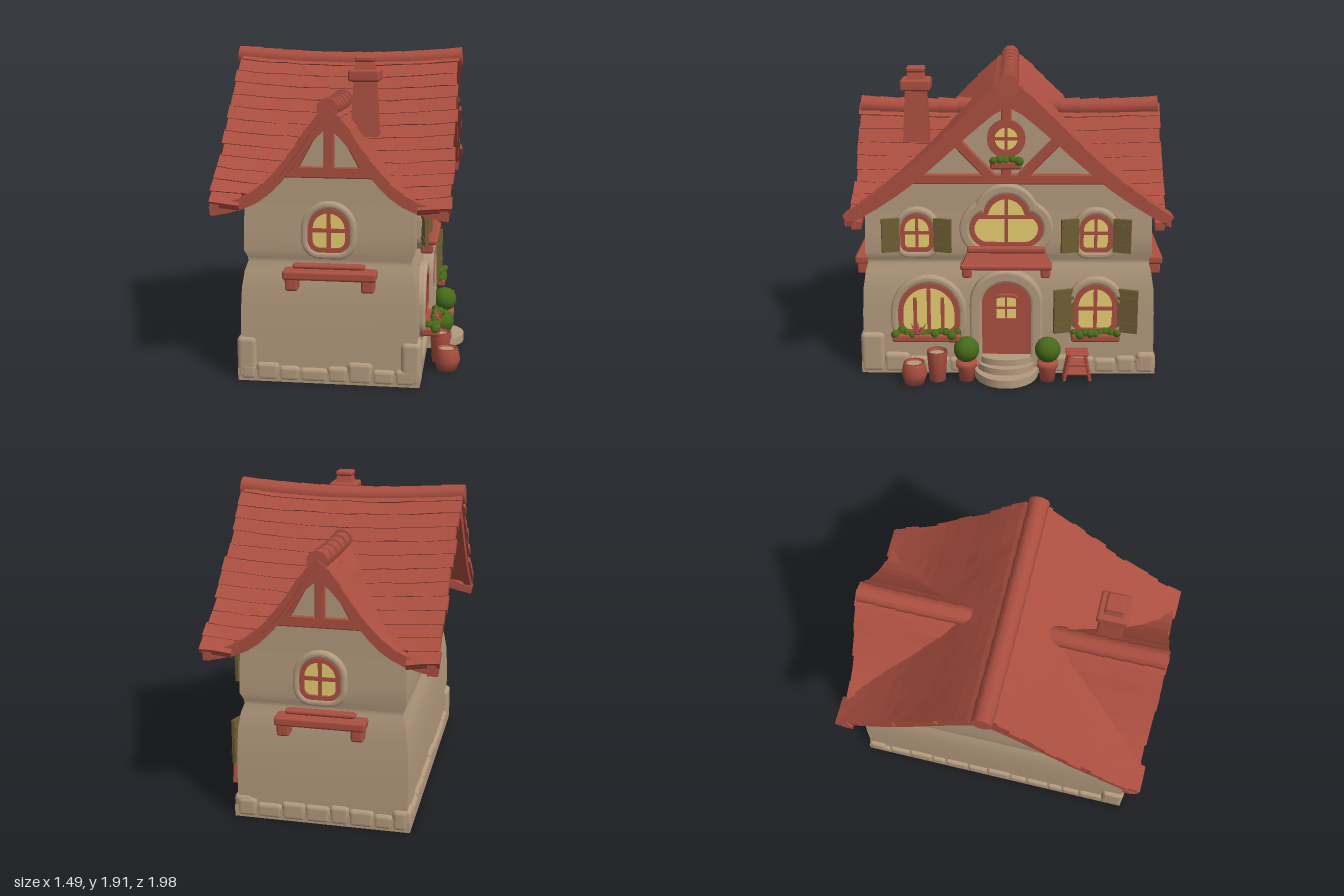
import * as THREE from 'three';
import { mergeGeometries } from 'three/addons/utils/BufferGeometryUtils.js';
import { RoundedBoxGeometry } from 'three/addons/geometries/RoundedBoxGeometry.js';

const mat = (name, color) => Object.assign(new THREE.MeshStandardMaterial({ color }), { name });
const red = mat('terracotta red', 0xab4f40), plaster = mat('plaster', 0xb39a7e);
const olive = mat('olive wood', 0x715e34), leaf = mat('leaf green', 0x476a19), glow = mat('lit glass', 0xf2d877);

let seed = 7;
const rnd = (a, b) => { seed = (seed * 16807) % 2147483647; return a + (b - a) * seed / 2147483647; };

function add(parent, name, geo, m, x = 0, y = 0, z = 0) {
  const mesh = new THREE.Mesh(geo, m);
  mesh.name = name;
  mesh.position.set(x, y, z);
  parent.add(mesh);
  return mesh;
}
const box = (w, h, d) => new THREE.BoxGeometry(w, h, d);
const soft = (w, h, d, r = 0.015) => new RoundedBoxGeometry(w, h, d, 2, r);
const extrude = (shape, depth, bevel = 0) => new THREE.ExtrudeGeometry(shape, {
  depth, bevelEnabled: bevel > 0, bevelSize: bevel, bevelThickness: bevel, bevelOffset: -bevel, bevelSegments: 2, curveSegments: 10 });
const lathe = pts => new THREE.LatheGeometry(pts.map(p => new THREE.Vector2(...p)), 16);

// Roof profiles: distance from ridge, height. MID is the x of the house's centre line
const MID = -0.025;
const profile = (pts, n) => new THREE.SplineCurve(pts.map(p => new THREE.Vector2(...p))).getSpacedPoints(n);
const mainP = profile([[0, 1.85], [0.09, 1.79], [0.25, 1.64], [0.41, 1.48], [0.61, 1.295], [0.8, 1.15], [0.965, 1.04]], 13);
const dormP = profile([[0, 1.62], [0.1, 1.52], [0.2, 1.37], [0.35, 1.19], [0.5, 1.09], [0.68, 1.03]], 10);
const sag = x => 0.035 * (x / 0.7) ** 2;
function distAt(P, y) {
  if (y >= P[0].y) return 0;
  for (let i = 1; i < P.length; i++) if (y >= P[i].y)
    return THREE.MathUtils.mapLinear(y, P[i - 1].y, P[i].y, P[i - 1].x, P[i].x);
  return P[P.length - 1].x;
}

// One course of shingles: a wedge with a ragged lower edge, swept from t0 to t1
function course(a, b, t0, t1, map, reverse) {
  const n = Math.max(1, Math.round((t1 - t0) / 0.1)), pos = [];
  const d = b.clone().sub(a).normalize(), nx = -d.y, ny = d.x, rings = [];
  for (let k = 0; k <= n; k++) {
    const t = t0 + (t1 - t0) * k / n, over = rnd(0.002, 0.012), lift = rnd(0.003, 0.008);
    const bx = b.x + d.x * over, by = b.y + d.y * over;
    rings.push([[a.x, a.y], [bx + nx * lift, by + ny * lift], [bx - nx * 0.035, by - ny * 0.035], [a.x - nx * 0.035, a.y - ny * 0.035]]
      .map(([u, y]) => map(u, y, t)));
  }
  const quad = (...q) => { if (reverse) q.reverse(); for (const i of [0, 1, 2, 0, 2, 3]) pos.push(...q[i]); };
  for (let k = 0; k < n; k++) for (let e = 0; e < 4; e++) {
    const f = (e + 1) % 4;
    quad(rings[k][e], rings[k][f], rings[k + 1][f], rings[k + 1][e]);
  }
  quad(...rings[0].slice().reverse());
  quad(...rings[n]);
  const g = new THREE.BufferGeometry();
  g.setAttribute('position', new THREE.Float32BufferAttribute(pos, 3));
  g.computeVertexNormals();
  return g;
}

// Solid below a profile, and the tapering board that follows its edge
function gableShape(P, half, drop, floor) {
  const side = P.filter(p => p.x < half).map(p => [p.x, p.y - drop]);
  const end = P.find(p => p.x >= half) || P[P.length - 1];
  side.push([half, Math.max(end.y - drop, floor + 0.01)], [half, floor]);
  return new THREE.Shape([...side, ...side.slice(1).reverse().map(([x, y]) => [-x, y])].map(p => new THREE.Vector2(...p)));
}
function boardShape(P, width) {
  const reach = P[P.length - 1].x;
  const top = [...P.slice(1).reverse().map(p => [-p.x, p.y]), ...P.map(p => [p.x, p.y])];
  const under = top.slice().reverse().map(([x, y]) => [x, y - width * (1 - 0.6 * Math.abs(x) / reach)]);
  return new THREE.Shape([...top, ...under].map(p => new THREE.Vector2(...p)));
}

// Opening outlines, grown by e on all sides; r rounds the lower corners
const arch = (w, h, rise, r = 0) => e => {
  const s = new THREE.Shape(), a = w / 2 + e, c = r ? Math.max(r + e, 0.01) : 0;
  s.moveTo(-a + c, -e); s.lineTo(a - c, -e);
  if (c) s.absarc(a - c, c - e, c, -Math.PI / 2, 0, false);
  s.lineTo(a, h - rise);
  s.absellipse(0, h - rise, a, rise + e, 0, Math.PI, false);
  if (c) s.absarc(-a + c, c - e, c, Math.PI, Math.PI * 1.5, false);
  else s.lineTo(-a, -e);
  return s;
};
const trefoil = e => {
  const s = new THREE.Shape();
  s.moveTo(-0.13, -e); s.lineTo(0.13, -e);
  s.absarc(0.11, 0.09, 0.09 + e, -Math.PI / 2, 1.2, false);
  s.absarc(0, 0.17, 0.115 + e, 0.15, Math.PI - 0.15, false);
  s.absarc(-0.11, 0.09, 0.09 + e, Math.PI - 1.2, Math.PI * 1.5, false);
  return s;
};
const circle = r => e => new THREE.Shape().absarc(0, r, r + e, 0, Math.PI * 2, false);

function ring(fn, outer, inner, depth, bevel) {
  const s = fn(outer);
  s.holes.push(fn(inner));
  return extrude(s, depth, bevel);
}
function addWindow(parent, name, fn, u, v, n, { w, h, ups = [0], across = [0.5], surround = 0.07, frame = 0.025, bar = 0.022 }) {
  const g = new THREE.Group();
  g.name = name; g.position.set(u, v, n); parent.add(g);
  if (surround) add(g, 'plasterSurround', ring(fn, frame + surround, frame, 0.03, 0.014), plaster, 0, 0, -0.01);
  add(g, 'frame', ring(fn, frame, -0.006, 0.04), red, 0, 0, -0.01);
  add(g, 'glass', extrude(fn(0), 0.008), glow, 0, 0, 0.004);
  for (const x of ups) add(g, 'mullion', box(bar, h * (1 - Math.abs(x) / w), 0.016), red, x, h * (1 - Math.abs(x) / w) / 2, 0.016);
  for (const f of across) add(g, 'crossbar', box(w, bar, 0.016), red, 0, h * f, 0.016);
}
function addShutter(parent, u, v, n, w, h, side) {
  const g = new THREE.Group();
  g.name = 'shutter'; g.position.set(u, v, n); g.rotation.y = -side * 0.3; parent.add(g);
  add(g, 'board', box(w, h, 0.022), olive);
  for (const k of [-0.3, 0.3]) add(g, 'batten', box(w * 0.9, 0.02, 0.032), olive, 0, h * k, 0);
}
function addFlowerBox(parent, u, v, n, w, d) {
  add(parent, 'flowerBox', soft(w, 0.05, d), red, u, v, n);
  const count = Math.round(w / 0.035);
  for (let i = 0; i < count; i++)
    add(parent, 'foliage', new THREE.IcosahedronGeometry(rnd(0.022, 0.032), 1), leaf, u + (i / (count - 1) - 0.5) * (w - 0.04), v + rnd(0.018, 0.035), n + rnd(-0.01, d / 2 - 0.01));
}
function beam(parent, x0, y0, x1, y1, n, w = 0.05) {
  const m = add(parent, 'timber', soft(Math.hypot(x1 - x0, y1 - y0), w, 0.05, 0.008), red, (x0 + x1) / 2, (y0 + y1) / 2, n);
  m.rotation.z = Math.atan2(y1 - y0, x1 - x0);
}

export function createModel() {
  const model = new THREE.Group(), house = new THREE.Group();
  model.name = 'cottage';
  house.name = 'house';
  house.rotation.y = 0.028; // the house stands slightly askew
  model.add(house);
  const sub = (name, ry = 0) => { const g = new THREE.Group(); g.name = name; g.rotation.y = ry; house.add(g); return g; };

  // Walls: two bulging storeys, from half widths at each height
  const rings = [[0, 0.515, 0.905], [0.2, 0.517, 0.907], [0.4, 0.516, 0.903], [0.56, 0.508, 0.895], [0.66, 0.492, 0.88], [0.71, 0.474, 0.866],
    [0.735, 0.474, 0.866], [0.78, 0.496, 0.88], [0.9, 0.494, 0.877], [1.05, 0.488, 0.872]];
  const wg = new THREE.BoxGeometry(2, 1, 2, 1, rings.length - 1, 1), wp = wg.attributes.position;
  for (let i = 0; i < wp.count; i++) {
    const [y, hx, hz] = rings[Math.round((wp.getY(i) + 0.5) * (rings.length - 1))];
    wp.setXYZ(i, -0.03 + wp.getX(i) * hx, y, wp.getZ(i) * hz);
  }
  wg.computeVertexNormals();
  add(house, 'walls', wg, plaster);
  add(house, 'mainGables', extrude(gableShape(mainP, 0.867, 0.04, 1), 0.975).rotateY(Math.PI / 2), plaster, -0.5175);
  add(house, 'dormerGables', extrude(gableShape(dormP, 0.46, 0.04, 1), 1.743), plaster, MID, 0, -0.8715);

  // Stone footing and corner blocks
  const stones = sub('stoneFooting');
  add(stones, 'plinth', box(1.07, 0.07, 1.84), plaster, -0.03, 0.035, 0);
  const row = (from, to, place) => {
    for (let s = from; s < to - 0.02;) {
      const l = Math.min(rnd(0.09, 0.17), to - s), h = rnd(0.09, 0.14);
      place(s + l / 2, l + 0.01, h);
      s += l;
    }
  };
  for (const s of [-1, 1]) {
    row(-0.55, 0.49, (c, l, h) => add(stones, 'stone', soft(l, h, 0.07, 0.03), plaster, c, h / 2, s * 0.89));
    row(-0.91, 0.91, (c, l, h) => { if (s < 0 || Math.abs(c) > 0.2) add(stones, 'stone', soft(0.07, h, l, 0.03), plaster, -0.03 + s * 0.505, h / 2, c); });
    add(stones, 'cornerBlock', soft(0.12, 0.26, 0.15, 0.03), plaster, -0.03 + s * 0.482, 0.135, 0.848);
    add(stones, 'cornerStone', soft(0.12, 0.14, 0.12, 0.03), plaster, -0.03 + s * 0.482, 0.07, -0.858);
  }

  // Shingled roof: main slopes are cut where the cross gables rise above them
  const roof = sub('roof');
  for (const side of [-1, 1]) {
    const main = [], map = (u, y, t) => [t, y + sag(t), side * u];
    for (let i = 0; i < mainP.length - 1; i++) {
      const a = mainP[i], b = mainP[i + 1];
      const x0 = -0.712 + rnd(-0.01, 0.01), x1 = 0.672 + rnd(-0.01, 0.01);
      const cut = distAt(dormP, (a.y + b.y) / 2 + 0.01) - 0.03;
      if (cut <= 0) main.push(course(a, b, x0, x1, map, side < 0));
      else main.push(course(a, b, x0, MID - cut, map, side < 0), course(a, b, MID + cut, x1, map, side < 0));
    }
    add(roof, 'mainSlope', mergeGeometries(main), red);
    for (const face of [-1, 1]) {
      const tiles = [];
      for (let i = 0; i < dormP.length - 1; i++) {
        const a = dormP[i], b = dormP[i + 1];
        tiles.push(course(a, b, distAt(mainP, a.y) - 0.03, 0.945 + rnd(-0.01, 0.01),
          (u, y, t) => [MID + side * u, y + 0.02 * (t - 0.6), face * t], side * face > 0));
      }
      add(roof, 'crossGableSlope', mergeGeometries(tiles), red);
    }
    add(roof, 'mainBargeboard', extrude(boardShape(mainP, 0.15), 0.05).rotateY(Math.PI / 2), red, side > 0 ? 0.605 : -0.7, 0.02, 0);
    add(roof, 'crossBargeboard', extrude(boardShape(dormP, 0.115), 0.055), red, MID, 0, side > 0 ? 0.87 : -0.925);
    for (let i = 0; i < 6; i++) {
      const cap = add(roof, 'crossRidgeTile', new THREE.CylinderGeometry(0.063, 0.056, 0.14, 10), red, MID, 1.597 + 0.012 * (i - 2) ** 2 / 9, side * (0.26 + i * 0.122));
      cap.rotation.x = side * (Math.PI / 2 - 0.04);
    }
  }
  for (let i = 0; i < 11; i++) {
    const x = -0.66 + i * 0.128;
    const cap = add(roof, 'ridgeTile', new THREE.CylinderGeometry(0.06, 0.065, 0.145, 10), red, x, 1.815 + sag(x), 0);
    cap.rotation.z = Math.PI / 2 + x * 0.12;
  }

  // Chimney
  const chimney = sub('chimney');
  chimney.position.set(0.147, 0, 0.575);
  const prism = (r0, r1, h) => new THREE.CylinderGeometry(r0 * Math.SQRT2, r1 * Math.SQRT2, h, 4).rotateY(Math.PI / 4).toNonIndexed();
  for (const [n, r0, r1, y0, y1] of [['shaft', 0.062, 0.08, 1.42, 1.76], ['pot', 0.045, 0.06, 1.8, 1.86]]) {
    const g = prism(r0, r1, y1 - y0);
    g.computeVertexNormals();
    add(chimney, n, g, red, 0, (y0 + y1) / 2, 0);
  }
  add(chimney, 'cap', soft(0.185, 0.07, 0.185), red, 0, 1.775, 0);
  add(chimney, 'potRim', soft(0.115, 0.035, 0.115), red, 0, 1.868, 0);

  // Entrance side, local x runs toward -z
  const entry = sub('entranceSide', Math.PI / 2);
  entry.position.set(-0.01, 0, 0.012);
  addWindow(entry, 'atticWindow', circle(0.075), 0, 1.425, 0.48, { w: 0.15, h: 0.15, surround: 0, frame: 0.04, bar: 0.018 });
  addFlowerBox(entry, 0, 1.35, 0.52, 0.19, 0.09);
  addWindow(entry, 'trefoilWindow', trefoil, 0, 0.85, 0.475, { w: 0.38, h: 0.285, across: [0.58], surround: 0.06 });
  add(entry, 'canopyRail', soft(0.48, 0.04, 0.08), red, 0, 0.815, 0.5);
  const canopy = box(0.55, 0.1, 0.1), cp = canopy.attributes.position;
  for (let i = 0; i < cp.count; i++) if (cp.getY(i) > 0) cp.setXYZ(i, cp.getX(i) * 0.84, 0.05, Math.min(cp.getZ(i), -0.01));
  canopy.computeVertexNormals();
  add(entry, 'canopy', canopy, red, 0, 0.76, 0.52);
  add(entry, 'canopyEdge', soft(0.56, 0.035, 0.11), red, 0, 0.715, 0.52);
  for (const s of [-1, 1]) {
    add(entry, 'canopyBracket', soft(0.06, 0.07, 0.08), red, s * 0.24, 0.675, 0.51);
    const u = s * 0.545;
    addWindow(entry, 'upperWindow', arch(0.16, 0.2, 0.08, 0.03), u, 0.815, 0.478, { w: 0.16, h: 0.2, surround: 0.04, frame: 0.02, bar: 0.018 });
    for (const k of [-1, 1]) addShutter(entry, u + k * 0.158, 0.905, 0.52, 0.11, 0.21, k);
    // Potted bushes
    const bush = sub('pottedBush');
    bush.position.set(0.597, 0, s * 0.25 + 0.006);
    add(bush, 'pot', lathe([[0, 0], [0.045, 0], [0.055, 0.09], [0.065, 0.09], [0.065, 0.125], [0, 0.125]]), red);
    add(bush, 'crown', new THREE.IcosahedronGeometry(0.08, 2), leaf, 0, 0.2, 0);
  }
  addWindow(entry, 'wideWindow', arch(0.33, 0.29, 0.17, 0.05), -0.48, 0.285, 0.498, { w: 0.33, h: 0.29, ups: [-0.085, 0, 0.085], across: [], surround: 0.045, frame: 0.025 });
  addFlowerBox(entry, -0.49, 0.268, 0.56, 0.42, 0.11);
  addWindow(entry, 'narrowWindow', arch(0.22, 0.27, 0.12, 0.04), 0.55, 0.3, 0.498, { w: 0.22, h: 0.27, surround: 0.045, frame: 0.025 });
  addFlowerBox(entry, 0.55, 0.268, 0.55, 0.3, 0.1);
  for (const k of [-1, 1]) addShutter(entry, 0.55 + k * 0.195, 0.425, 0.535, 0.13, 0.28, k);
  for (let i = 0; i < 5; i++) {
    const f = add(entry, 'redFlower', new THREE.ConeGeometry(0.014, 0.075, 5), red, -0.54 + (i - 2) * 0.015, 0.33, 0.59 + (i % 2) * 0.025);
    f.rotation.set((i % 2 ? 0.5 : -0.5), 0, -(i - 2) * 0.25);
  }

  // Door, surround and rounded steps
  const doorShape = arch(0.3, 0.48, 0.14);
  add(entry, 'doorSurround', ring(doorShape, 0.075, 0, 0.05, 0.015), plaster, 0, 0.13, 0.485);
  add(entry, 'door', extrude(doorShape(0), 0.03), red, 0, 0.13, 0.485);
  addWindow(entry, 'doorWindow', arch(0.135, 0.155, 0.02), 0, 0.367, 0.513, { w: 0.135, h: 0.155, surround: 0, frame: 0.01, bar: 0.012 });
  [[0.23, 0.2, 0, 0.05], [0.15, 0.18, 0.05, 0.09], [0.1, 0.165, 0.09, 0.13]].forEach(([rx, rz, y0, y1]) =>
    add(entry, 'step', new THREE.CylinderGeometry(1, 1, y1 - y0, 28).scale(rz, 1, rx), plaster, 0, (y0 + y1) / 2, 0.515));

  // Timber framing on both main gables
  for (const g of [entry, sub('rearGable', -Math.PI / 2)]) {
    const n = g === entry ? 0.475 : 0.515;
    beam(g, -0.62, 1.25, 0.62, 1.25, n, 0.06);
    beam(g, 0, 1.25, 0, g === entry ? 1.4 : 1.8, n, 0.06);
    beam(g, 0, 1.6, 0, 1.8, n, 0.06);
    for (const s of [-1, 1]) beam(g, s * 0.09, 1.26, s * 0.3, 1.48, n, 0.06);
  }

  // Narrow ends: window, shelf and framing
  for (const ry of [0, Math.PI]) {
    const end = sub(ry ? 'backEnd' : 'frontEnd', ry);
    end.position.x = MID;
    addWindow(end, 'endWindow', arch(0.2, 0.215, 0.1, 0.05), 0, 0.805, 0.879, { w: 0.2, h: 0.215, surround: 0.04, frame: 0.02 });
    add(end, 'shelf', soft(0.54, 0.055, 0.12), red, 0.01, 0.66, 0.92);
    add(end, 'shelfBack', soft(0.42, 0.03, 0.06), red, 0, 0.7, 0.89);
    for (const s of [-1, 1]) {
      add(end, 'shelfBracket', soft(0.075, 0.08, 0.1), red, 0.01 + s * 0.22, 0.605, 0.918);
      beam(end, s * 0.2, 1.26, s * 0.07, 1.5, 0.868, 0.04);
    }
    beam(end, -0.26, 1.245, 0.26, 1.245, 0.868, 0.065);
    beam(end, 0, 1.25, 0, 1.55, 0.868, 0.06);
  }

  // Barrel, bucket and folding sign beside the door
  const barrel = add(house, 'barrel', lathe([[0, 0], [0.06, 0], [0.08, 0.065], [0.065, 0.135], [0.05, 0.135], [0.05, 0.115], [0, 0.115]]), red, 0.648, 0, 0.575);
  const bucket = add(house, 'bucket', lathe([[0, 0], [0.05, 0], [0.064, 0.19], [0.05, 0.19], [0.045, 0.16], [0, 0.16]]), red, 0.6, 0, 0.437);
  add(barrel, 'barrelFilling', new THREE.CylinderGeometry(0.05, 0.05, 0.008, 16), plaster, 0, 0.12, 0);
  add(bucket, 'bucketFilling', new THREE.CylinderGeometry(0.047, 0.047, 0.008, 16), plaster, 0, 0.17, 0);
  const sign = sub('foldingSign', Math.PI / 2);
  for (const d of [-1, 1]) {
    for (const s of [-1, 1]) beam(sign, 0.425 + s * 0.08, 0.01, 0.425 + s * 0.045, 0.195, 0.6 + d * 0.03, 0.02);
    for (const y of [0.06, 0.12, 0.185]) beam(sign, 0.355, y, 0.495, y, 0.6 + d * 0.03, 0.018);
  }
  return model;
}
